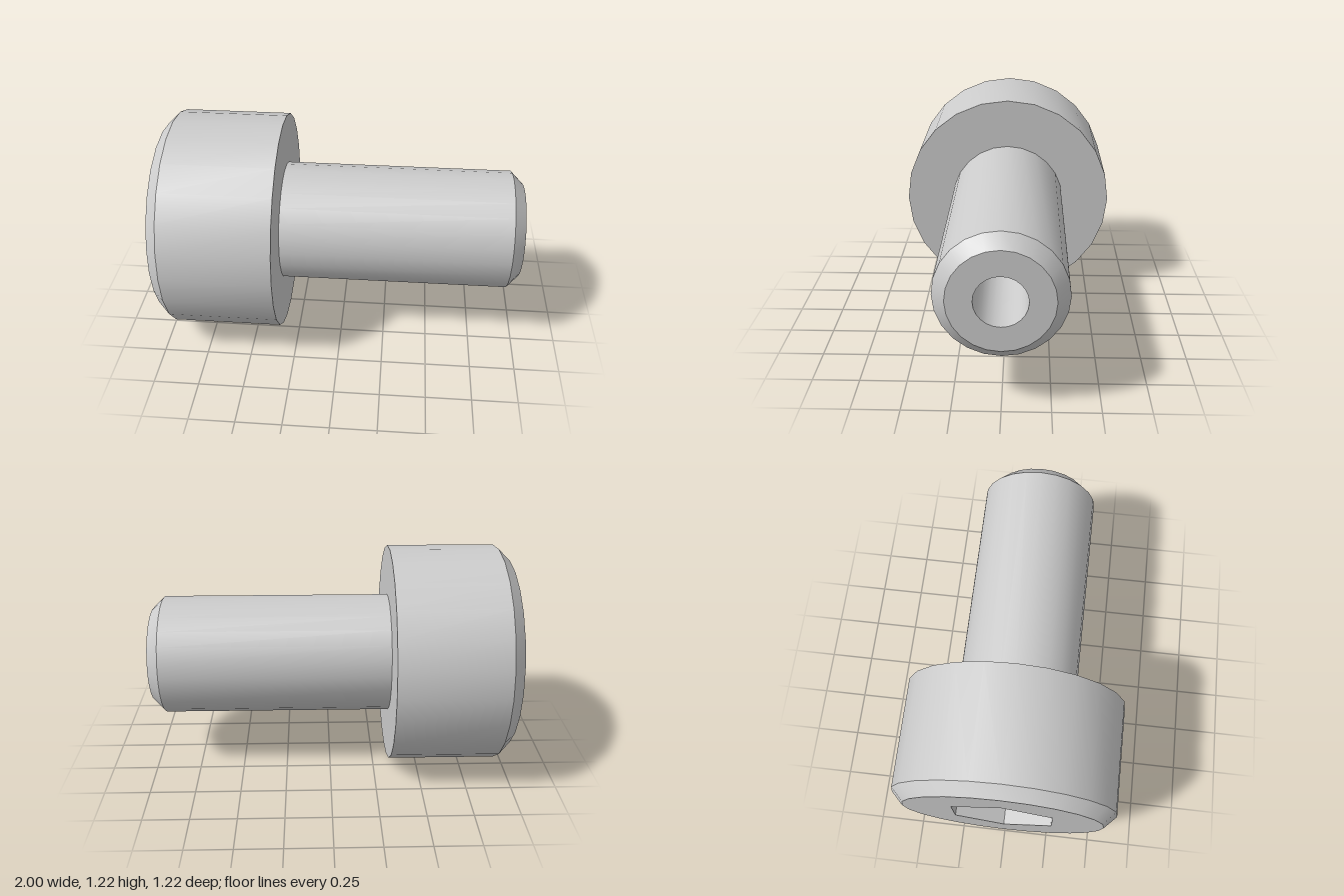
import * as THREE from 'three';
import { toCreasedNormals } from 'three/addons/utils/BufferGeometryUtils.js';

const SIDES = 24;
const HEAD_R = 0.612, SHANK_R = 0.333, BORE_R = 0.133;
const HEX_R = 0.533 / Math.sqrt(3); // corner radius of the hex socket
const BEVEL = 0.067, HEAD_END = -0.333, SOCKET_FLOOR = -0.667;

const material = new THREE.MeshStandardMaterial({ color: 0xcccccc });

// Regular polygon with a corner at the top
function polygon(radius, sides) {
  return Array.from({ length: sides }, (_, i) => {
    const a = Math.PI / 2 + (i / sides) * Math.PI * 2;
    return new THREE.Vector2(radius * Math.cos(a), radius * Math.sin(a));
  });
}

// Surface turned about the x axis from [radius, x] pairs
function turned(name, profile, sides) {
  const points = profile.map(([r, x]) => new THREE.Vector2(r, x));
  const lathe = new THREE.LatheGeometry(points, sides, Math.PI / 2);
  lathe.rotateZ(-Math.PI / 2);
  const mesh = new THREE.Mesh(toCreasedNormals(lathe, Math.PI / 6), material);
  mesh.name = name;
  return mesh;
}

// Flat face with a hole, facing -x
function face(name, outline, hole, x) {
  const shape = new THREE.Shape(outline);
  shape.holes.push(new THREE.Path(hole));
  const geometry = new THREE.ShapeGeometry(shape);
  geometry.rotateY(-Math.PI / 2);
  geometry.translate(x, 0, 0);
  const mesh = new THREE.Mesh(geometry, material);
  mesh.name = name;
  return mesh;
}

export function createModel() {
  const screw = new THREE.Group();
  screw.name = 'socketHeadScrew';

  const hexagon = polygon(HEX_R, 6);
  screw.add(
    // Bevelled head and its flat underside
    turned('head', [
      [HEAD_R - BEVEL, -1], [HEAD_R, -1 + BEVEL], [HEAD_R, HEAD_END], [SHANK_R, HEAD_END],
    ], SIDES),
    // Shank with bevelled tip and end ring
    turned('shank', [
      [SHANK_R, HEAD_END], [SHANK_R, 1 - BEVEL], [SHANK_R - BEVEL, 1], [BORE_R, 1],
    ], SIDES),
    // Through hole from tip to socket floor
    turned('bore', [[BORE_R, 1], [BORE_R, SOCKET_FLOOR]], SIDES),
    // Hex socket
    turned('socketWalls', [[HEX_R, SOCKET_FLOOR], [HEX_R, -1]], 6),
    face('socketFloor', hexagon, polygon(BORE_R, SIDES), SOCKET_FLOOR),
    face('headFace', polygon(HEAD_R - BEVEL, SIDES), hexagon, -1),
  );

  screw.position.y = HEAD_R;
  const model = new THREE.Group();
  model.add(screw);
  return model;
}
